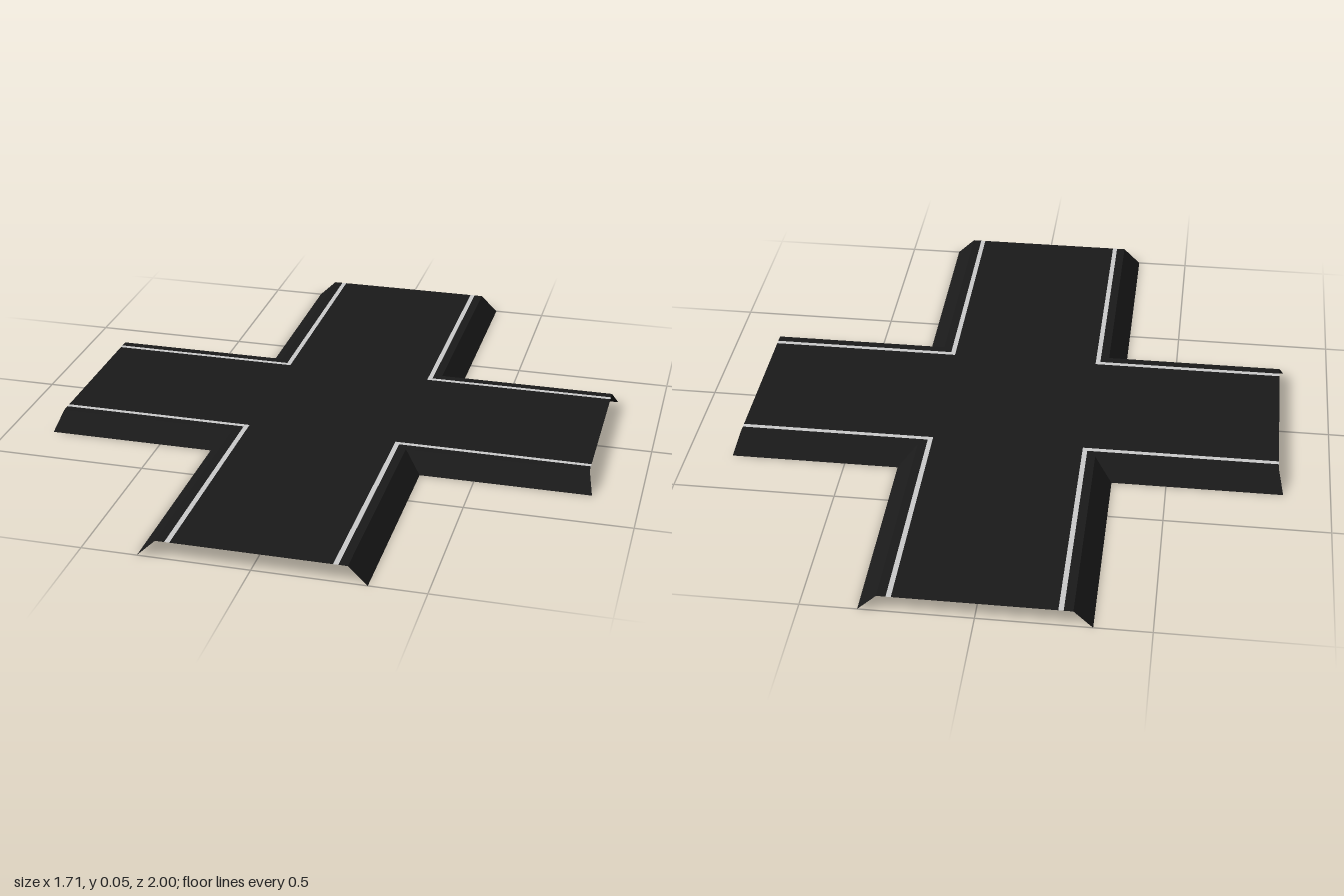
import * as THREE from 'three';

const TOP = 0.054;       // road height
const END_X = 0.84;      // side arm length
const END_Z = 1;         // front and back arm length

// Rails run along the kerb of one quadrant: d = distance from the arm's centre line
const rails = {
  road: { d: 0.235, y: TOP, endX: END_X },
  line: { d: 0.25, y: TOP, endX: END_X },
  shoulder: { d: 0.277, y: TOP, endX: END_X },
  foot: { d: 0.333, y: 0, endX: 0.857 },
};

function material(color) {
  return new THREE.MeshStandardMaterial({ color, side: THREE.DoubleSide });
}

// L-shaped path: end of the front arm, inner corner, end of the side arm
function railPoints({ d, y, endX }, sx, sz) {
  return [[d, END_Z], [d, d], [endX, d]].map(([x, z]) => [x * sx, y, z * sz]);
}

// Strip between two rails, mirrored into all four quadrants
function kerbStrip(name, inner, outer, mat) {
  const positions = [];
  for (const sx of [1, -1]) for (const sz of [1, -1]) {
    const a = railPoints(inner, sx, sz);
    const b = railPoints(outer, sx, sz);
    for (let i = 0; i < 2; i++) {
      const tris = [[a[i], b[i], b[i + 1]], [a[i], b[i + 1], a[i + 1]]];
      for (const t of tris) {
        if (sx * sz < 0) t.reverse();
        positions.push(...t.flat());
      }
    }
  }
  const geometry = new THREE.BufferGeometry();
  geometry.setAttribute('position', new THREE.Float32BufferAttribute(positions, 3));
  geometry.computeVertexNormals();
  const mesh = new THREE.Mesh(geometry, mat);
  mesh.name = name;
  return mesh;
}

export function createModel() {
  const group = new THREE.Group();
  group.name = 'crossroads';
  const asphalt = material(0x1a1a1a);
  const paint = material(0xcccccc);

  // Cross-shaped carriageway
  const w = rails.road.d;
  const outline = [
    [w, END_Z], [w, w], [END_X, w], [END_X, -w], [w, -w], [w, -END_Z],
    [-w, -END_Z], [-w, -w], [-END_X, -w], [-END_X, w], [-w, w], [-w, END_Z],
  ].map(([x, z]) => new THREE.Vector2(x, z));
  const roadGeometry = new THREE.ShapeGeometry(new THREE.Shape(outline));
  roadGeometry.rotateX(-Math.PI / 2).translate(0, TOP, 0);
  const road = new THREE.Mesh(roadGeometry, asphalt);
  road.name = 'roadSurface';
  group.add(road);

  // Painted edge lines, shoulders and sloping banks
  group.add(
    kerbStrip('edgeLines', rails.road, rails.line, paint),
    kerbStrip('shoulders', rails.line, rails.shoulder, asphalt),
    kerbStrip('embankments', rails.shoulder, rails.foot, asphalt),
  );
  return group;
}
